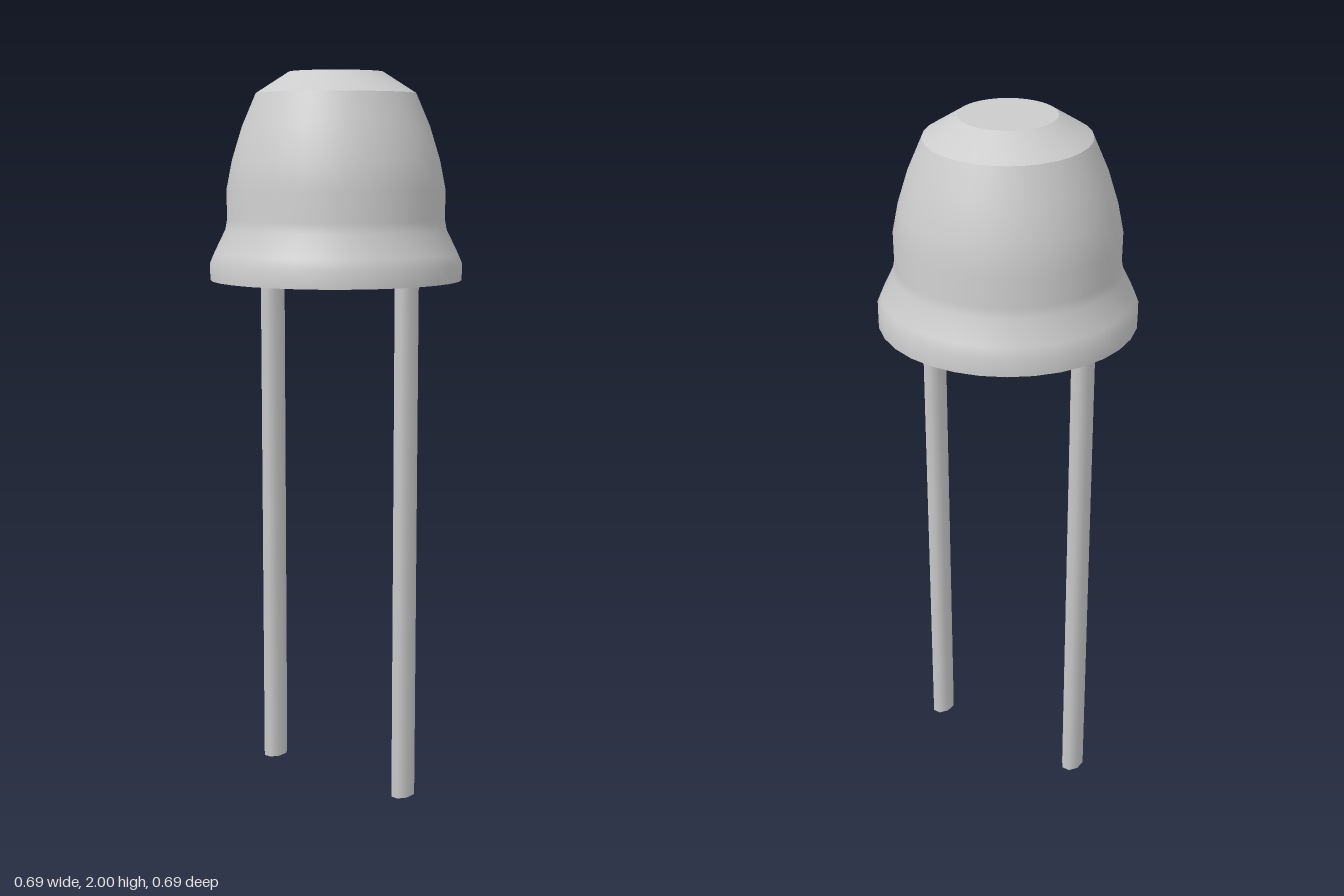
import * as THREE from 'three';
import { toCreasedNormals } from 'three/addons/utils/BufferGeometryUtils.js';

const material = new THREE.MeshStandardMaterial({ color: 0xcccccc });

function add(group, name, geometry) {
  const mesh = new THREE.Mesh(geometry, material);
  mesh.name = name;
  group.add(mesh);
  return mesh;
}

export function createModel() {
  const model = new THREE.Group();
  model.name = 'lamp';

  // Bulb: closed profile from base centre, over the flared rim, to the flat top
  const profile = [
    [0, 1.44], [0.347, 1.44], [0.347, 1.487], [0.335, 1.515], [0.304, 1.578],
    [0.299, 1.605], [0.3, 1.685], [0.284, 1.765], [0.256, 1.855],
    [0.218, 1.943], [0.128, 2], [0, 2],
  ].map(([r, y]) => new THREE.Vector2(r, y));
  add(model, 'bulb', toCreasedNormals(new THREE.LatheGeometry(profile, 32), 0.55));

  // Two leads: slim flattened octagonal pins under the bulb
  const apothem = Math.cos(Math.PI / 8);
  for (const [name, z] of [['frontLead', 0.248], ['backLead', -0.238]]) {
    const pin = new THREE.CylinderGeometry(1, 1, 1.45, 8);
    pin.rotateY(Math.PI / 8);
    pin.scale(0.038 / apothem, 1, 0.027 / apothem);
    add(model, name, pin).position.set(0, 0.725, z);
  }

  return model;
}
